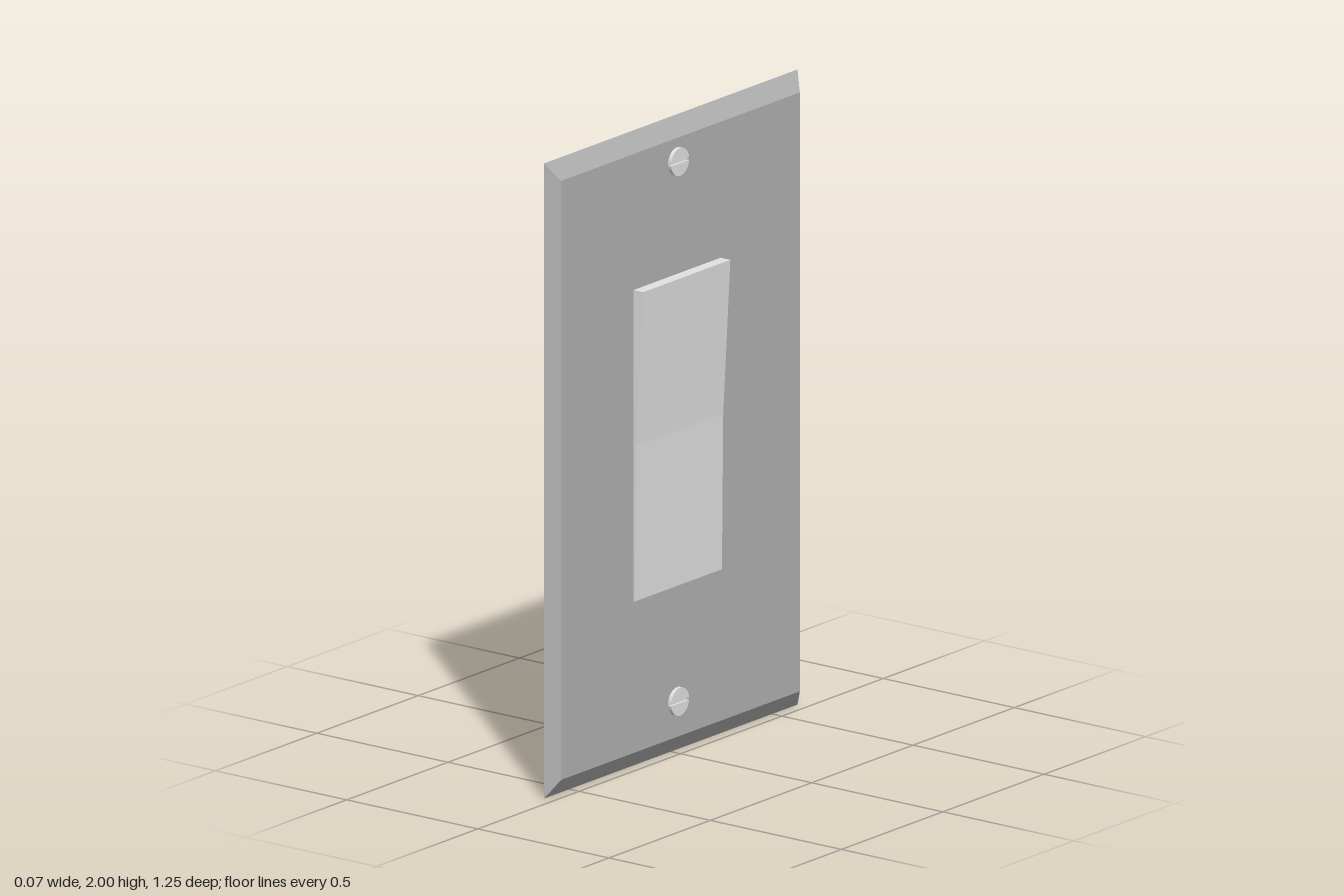
import * as THREE from 'three';

const plateGrey = new THREE.MeshStandardMaterial({ color: 0xb0b0b0 });
plateGrey.name = 'plateGrey';
const lightGrey = new THREE.MeshStandardMaterial({ color: 0xe1e1e1 });
lightGrey.name = 'lightGrey';

const CENTRE_Z = 0.017; // line shared by the rocker and the screws

function addMesh(parent, name, geometry, material) {
  const mesh = new THREE.Mesh(geometry, material);
  mesh.name = name;
  parent.add(mesh);
  return mesh;
}

// Box whose +x face is drawn in to leave a bevel on all four edges
function bevelledPlate(depth, height, width, insetY, insetZ) {
  const geo = new THREE.BoxGeometry(depth, height, width);
  const p = geo.attributes.position;
  for (let i = 0; i < p.count; i++) {
    if (p.getX(i) < 0) continue;
    p.setY(i, p.getY(i) - Math.sign(p.getY(i)) * insetY);
    p.setZ(i, p.getZ(i) - Math.sign(p.getZ(i)) * insetZ);
  }
  geo.computeVertexNormals();
  return geo;
}

// Slotted screw head facing +x: a floor disc and two raised half discs
function createScrew(name, y) {
  const screw = new THREE.Group();
  screw.name = name;
  const r = 0.044, slotHalf = 0.004, floor = 0.004, top = 0.012;

  const disc = new THREE.CylinderGeometry(r, r, floor, 32);
  disc.rotateZ(-Math.PI / 2).translate(floor / 2, 0, 0);
  addMesh(screw, 'slotFloor', disc, lightGrey);

  const t = Math.asin(slotHalf / r);
  for (const [part, start] of [['upperHalf', 0], ['lowerHalf', Math.PI]]) {
    const shape = new THREE.Shape();
    shape.absarc(0, 0, r, start + t, start + Math.PI - t, false);
    const geo = new THREE.ExtrudeGeometry(shape, { depth: top, bevelEnabled: false, curveSegments: 20 });
    geo.rotateY(Math.PI / 2);
    addMesh(screw, part, geo, lightGrey);
  }
  screw.position.set(0, y, CENTRE_Z);
  return screw;
}

export function createModel() {
  const model = new THREE.Group();
  model.name = 'wallSwitch';

  // Wall plate
  const plate = addMesh(model, 'wallPlate', bevelledPlate(0.037, 2, 1.25, 0.057, 0.036), plateGrey);
  plate.position.set(-0.0185, 1, 0);

  // Rocker with a bend at the middle
  const profile = new THREE.Shape([
    [-0.01, 0.535], [0.005, 0.535], [0.01, 1.025], [0.037, 1.515], [-0.01, 1.515],
  ].map(([x, y]) => new THREE.Vector2(x, y)));
  const width = 0.43;
  const rocker = new THREE.ExtrudeGeometry(profile, { depth: width, bevelEnabled: false });
  rocker.translate(0, 0, CENTRE_Z - width / 2);
  addMesh(model, 'rocker', rocker, lightGrey);

  // Screws above and below the rocker
  model.add(createScrew('upperScrew', 1.87), createScrew('lowerScrew', 0.17));
  return model;
}
